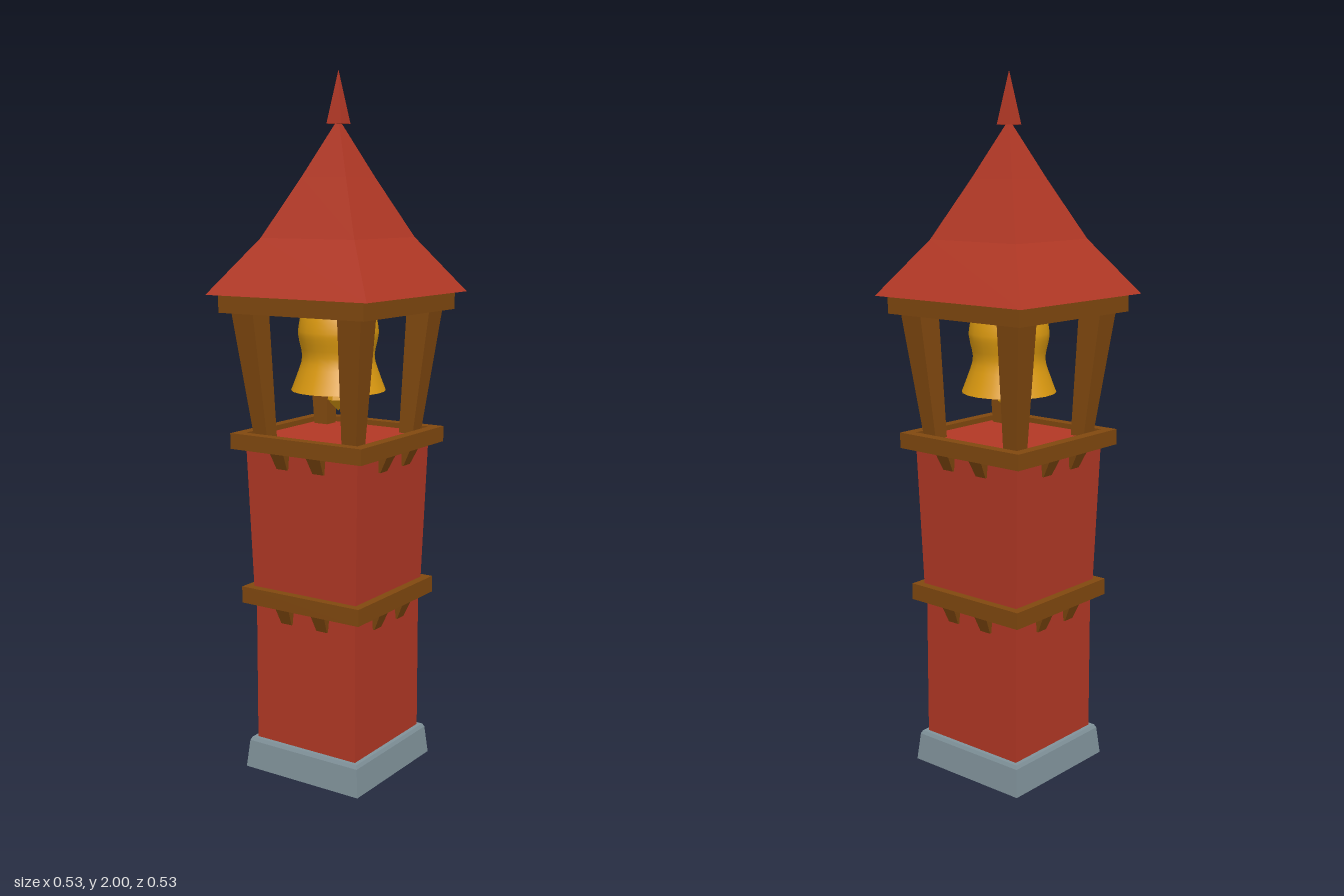
import * as THREE from 'three';

const red = new THREE.MeshStandardMaterial({ color: 0xb23825, side: THREE.DoubleSide });
red.name = 'red paint';
const wood = new THREE.MeshStandardMaterial({ color: 0x80480f });
wood.name = 'brown wood';
const stone = new THREE.MeshStandardMaterial({ color: 0x80929a, side: THREE.DoubleSide });
stone.name = 'grey stone';
const gold = new THREE.MeshStandardMaterial({ color: 0xdc9a10, side: THREE.DoubleSide });
gold.name = 'golden bell metal';

function add(parent, name, geometry, material) {
  const mesh = new THREE.Mesh(geometry, material);
  mesh.name = name;
  parent.add(mesh);
  return mesh;
}

function flat(geometry) {
  const g = geometry.toNonIndexed();
  g.computeVertexNormals();
  return g;
}

const vectors = (points) => points.map(([r, y]) => new THREE.Vector2(r, y));

// Square solid from a profile of [half width, height]
function square(points) {
  const scaled = points.map(([h, y]) => [h * Math.SQRT2, y]);
  return flat(new THREE.LatheGeometry(vectors(scaled), 4, Math.PI / 4));
}

// Square frame with a hollow centre
const frame = (inner, outer, y0, y1) =>
  square([[inner, y0], [outer, y0], [outer, y1], [inner, y1], [inner, y0]]);

// Box whose corners are placed by separate bottom and top rectangles [x0, x1, z0, z1]
function block(bottom, top, y0, y1) {
  const g = new THREE.BoxGeometry(1, 1, 1);
  const p = g.attributes.position;
  for (let i = 0; i < p.count; i++) {
    const r = p.getY(i) > 0 ? top : bottom;
    p.setXYZ(i, p.getX(i) > 0 ? r[1] : r[0], p.getY(i) > 0 ? y1 : y0, p.getZ(i) > 0 ? r[3] : r[2]);
  }
  return flat(g);
}

export function createModel() {
  const model = new THREE.Group();
  model.name = 'bellTower';

  // Footing and shaft, hollow and open below
  add(model, 'footing', square([[0.195, 0], [0.187, 0.08], [0.182, 0.09], [0.17, 0.09]]), stone);
  add(model, 'shaft', square([[0.17, 0.09], [0.17, 0.5], [0.175, 0.55], [0.188, 0.96], [0.19, 0.985], [0, 0.985]]), red);

  // Wooden ledges with wedge brackets under each side
  const ledges = [
    { name: 'middleLedge', inner: 0.165, outer: 0.2, wall: 0.165, y0: 0.502, y1: 0.55 },
    { name: 'upperLedge', inner: 0.188, outer: 0.22, wall: 0.182, y0: 0.955, y1: 1.0 },
  ];
  for (const l of ledges) {
    add(model, l.name, frame(l.inner, l.outer, l.y0, l.y1), wood);
    for (let side = 0; side < 4; side++) {
      for (const x of [-0.061, 0.061]) {
        const bracket = block(
          [x - 0.018, x + 0.018, l.wall, l.wall + 0.01],
          [x - 0.023, x + 0.023, l.wall, l.outer - 0.004],
          l.y0 - 0.047, l.y0);
        add(model, 'bracket', bracket, wood).rotation.y = side * Math.PI / 2;
      }
    }
  }

  // Belfry posts, flaring toward the top
  for (let i = 0; i < 4; i++) {
    const post = block([0.126, 0.172, 0.126, 0.172], [0.14, 0.215, 0.14, 0.215], 0.985, 1.345);
    add(model, 'post', post, wood).rotation.y = i * Math.PI / 2;
  }
  add(model, 'eavesBeam', frame(0.2, 0.24, 1.34, 1.39), wood);

  // Curved roof and spire tip
  add(model, 'roof', square([[0.265, 1.39], [0.155, 1.545], [0.074, 1.71], [0, 1.87]]), red);
  add(model, 'finial', square([[0, 1.855], [0.024, 1.855], [0, 2]]), red);

  // Bell and clapper
  const bell = new THREE.Group();
  bell.name = 'bell';
  const curve = new THREE.SplineCurve(vectors([
    [0.135, 1.115], [0.118, 1.16], [0.103, 1.21], [0.112, 1.26], [0.114, 1.29],
    [0.1, 1.345], [0.06, 1.385], [0, 1.4],
  ]));
  const profile = curve.getPoints(20);
  profile[20].set(0, 1.4);
  add(bell, 'bellBody', new THREE.LatheGeometry(profile, 20), gold);
  add(bell, 'clapper', flat(new THREE.LatheGeometry(vectors([
    [0, 1.055], [0.032, 1.088], [0.026, 1.108], [0.01, 1.118], [0.01, 1.39],
  ]), 8)), gold);
  model.add(bell);

  return model;
}
